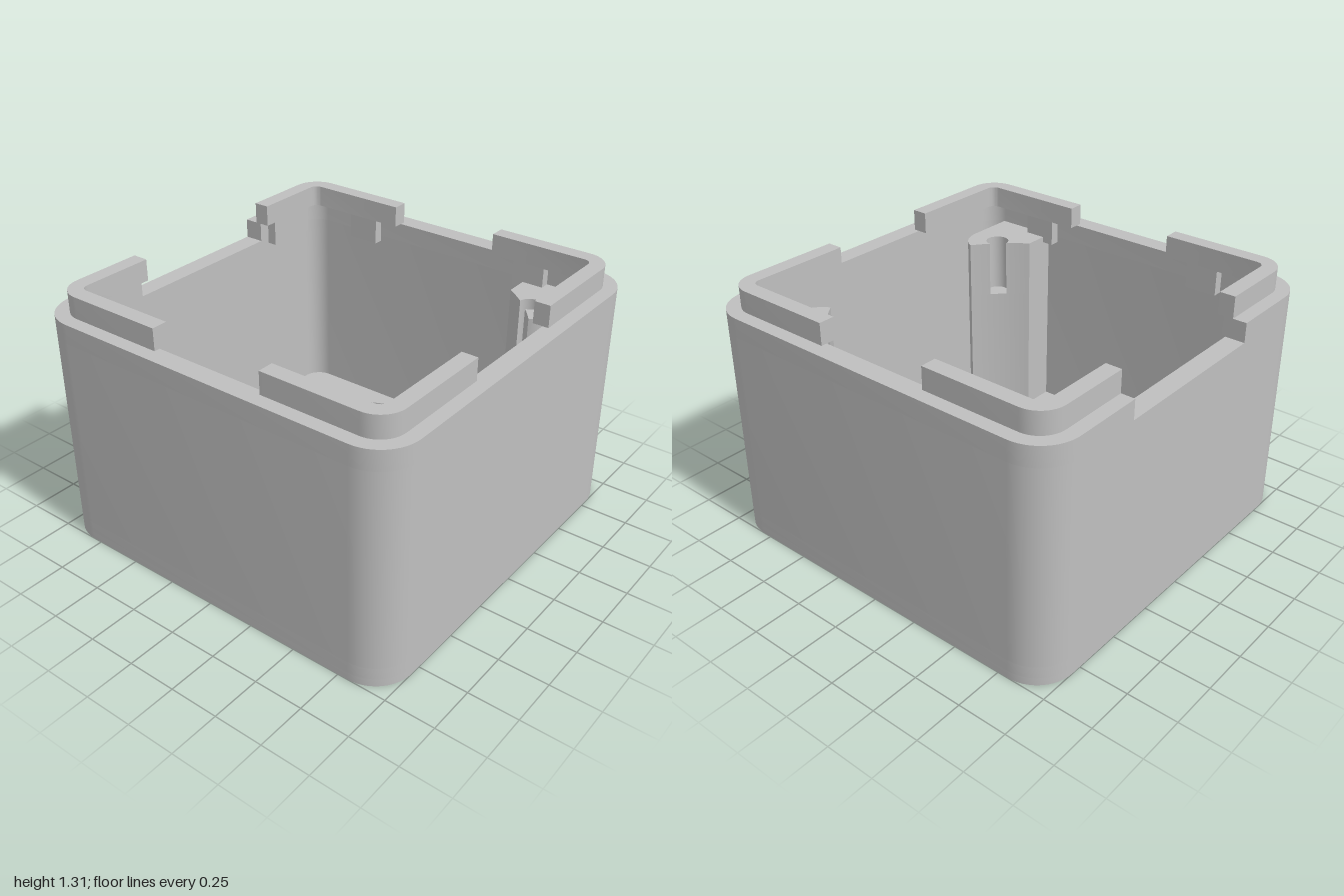
import * as THREE from 'three';
import { toCreasedNormals } from 'three/addons/utils/BufferGeometryUtils.js';

const shell = new THREE.MeshStandardMaterial({ color: 0xbfbfbf });
shell.name = 'plain grey';

// Points along an arc in the ground plane (x, z)
function arc(cx, cz, r, from, to, steps = 12) {
  const pts = [];
  for (let i = 0; i <= steps; i++) {
    const a = from + ((to - from) * i) / steps;
    pts.push([cx + r * Math.cos(a), cz + r * Math.sin(a)]);
  }
  return pts;
}

// Rounded square, starting and ending on the back edge
function roundedSquare(half, r) {
  const c = half - r, q = Math.PI / 2;
  return [[c, -c], [c, c], [-c, c], [-c, -c]].flatMap(
    ([x, z], i) => arc(x, z, r, (i - 1) * q, i * q));
}

// Vertical prism from a ground plan, with an optional hole
function prism(name, plan, y0, y1, hole, sx = 1, sz = 1) {
  const toVectors = (pts) => pts.map(([x, z]) => new THREE.Vector2(x * sx, z * sz));
  const shape = new THREE.Shape(toVectors(plan));
  if (hole) shape.holes.push(new THREE.Path(toVectors(hole)));
  const geo = new THREE.ExtrudeGeometry(shape, { depth: y1 - y0, bevelEnabled: false });
  geo.rotateX(Math.PI / 2).translate(0, y1, 0);
  const mesh = new THREE.Mesh(toCreasedNormals(geo, 0.5), shell);
  mesh.name = name;
  return mesh;
}

function box(name, x0, x1, y0, y1, z0, z1) {
  const mesh = new THREE.Mesh(new THREE.BoxGeometry(x1 - x0, y1 - y0, z1 - z0), shell);
  mesh.position.set((x0 + x1) / 2, (y0 + y1) / 2, (z0 + z1) / 2);
  mesh.name = name;
  return mesh;
}

export function createModel() {
  const group = new THREE.Group();
  group.name = 'housing';
  const outer = roundedSquare(1, 0.2);
  const inner = roundedSquare(0.9, 0.1);
  const circle = (r) => arc(0, 0, r, 0, Math.PI * 2, 96).slice(0, -1);

  // Floor with a stepped round opening
  group.add(prism('floorLip', outer, 0, 0.04, circle(0.8)));
  group.add(prism('floor', outer, 0.04, 0.1, circle(0.88)));

  // Walls; the top band is open at the back
  group.add(prism('walls', outer, 0.1, 1.1, inner));
  const gap = 0.44;
  group.add(prism('wallRim', [
    [gap, -1], ...outer, [-gap, -1],
    [-gap, -0.9], ...[...inner].reverse(), [gap, -0.9],
  ], 1.1, 1.2));

  // Raised L-shaped lips on the four corners
  const q = Math.PI / 2;
  for (const sx of [-1, 1]) {
    for (const sz of [-1, 1]) {
      const armEnd = sz < 0 ? gap : 0.3;
      group.add(prism('cornerLip', [
        [armEnd, 0.93], ...arc(0.8, 0.8, 0.13, q, 0), [0.93, 0.3],
        [0.85, 0.3], ...arc(0.81, 0.81, 0.04, 0, q, 6), [armEnd, 0.85],
      ], 1.2, 1.31, null, sx, sz));

      // Small tabs below the lips on the side walls
      const x = [0.85 * sx, 0.92 * sx].sort((a, b) => a - b);
      const z = [0.43 * sz, 0.6 * sz].sort((a, b) => a - b);
      group.add(box('sideTab', x[0], x[1], 1.07, 1.2, z[0], z[1]));
    }
    // Tabs on the back wall
    const x = [0.5 * sx, 0.78 * sx].sort((a, b) => a - b);
    group.add(box('backTab', x[0], x[1], 1.07, 1.2, -0.92, -0.85));

    // Screw posts in the front corners, trimmed to the round bore
    const R = 0.88, c = 0.65, r = 0.06, mid = Math.PI / 4;
    const D = c * Math.SQRT2;
    const phi = Math.acos((D * D + r * r - R * R) / (2 * D * r));
    const delta = Math.asin((r * Math.sin(phi)) / R);
    const start = Math.asin(0.49 / R);
    const end = Math.atan2(0.72, 0.507);
    const roundEnd = [...arc(c, c, 0.16, Math.atan2(0.07, -0.143), q).slice(1), [0.92, 0.81]];
    group.add(prism('screwPost', [
      [0.92, 0.49], ...arc(0, 0, R, start, end), ...roundEnd,
    ], 0.06, 0.8, null, sx));
    // Upper part with the screw hole breaking through the trimmed face
    group.add(prism('screwPostTop', [
      [0.92, 0.49], ...arc(0, 0, R, start, mid - delta, 6),
      ...arc(c, c, r, 5 * mid + phi, 13 * mid - phi, 24).slice(1, -1),
      ...arc(0, 0, R, mid + delta, end, 6), ...roundEnd,
    ], 0.8, 1.1, null, sx));
  }
  return group;
}
